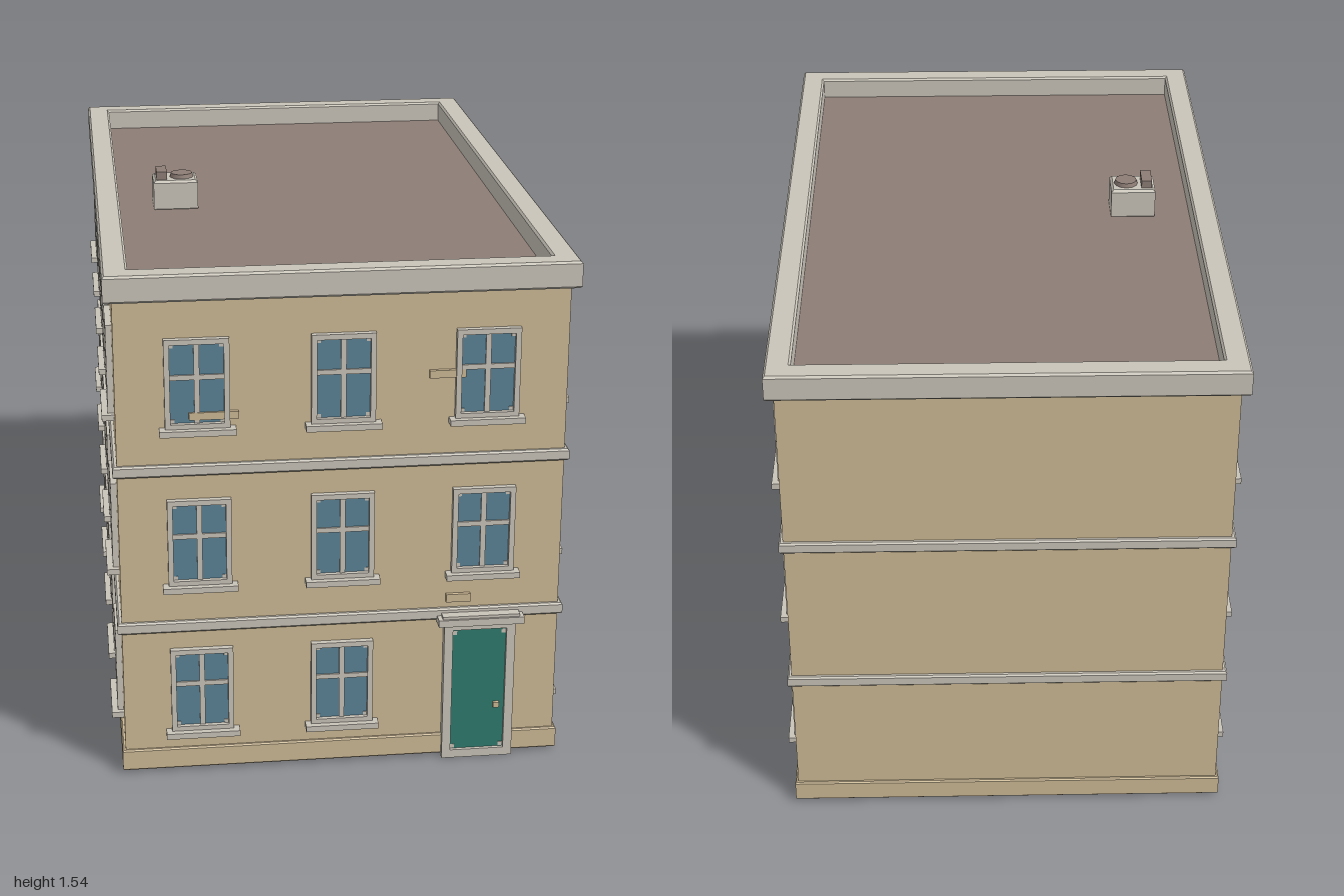
import * as THREE from 'three';

const paint = (name, hex) => {
  const m = new THREE.MeshStandardMaterial({ color: hex });
  m.name = name;
  return m;
};
const wallMat = paint('sand wall', 0xcdba96);
const trimMat = paint('pale stone', 0xc9c4b9);
const glassMat = paint('window glass', 0x5a8297);
const roofMat = paint('brown roof', 0x8d7d75);
const doorMat = paint('green door', 0x2f7a6d);

const CZ = -0.0125;               // centre of the building block in z
const WX = 0.618, WZ = 0.964;     // half width and half depth of the walls

function add(parent, name, geo, mat, x = 0, y = 0, z = 0) {
  const mesh = new THREE.Mesh(geo, mat);
  mesh.name = name;
  mesh.position.set(x, y, z);
  parent.add(mesh);
  return mesh;
}

// box given by its limits
function block(parent, name, mat, x0, x1, y0, y1, z0, z1) {
  return add(parent, name, new THREE.BoxGeometry(x1 - x0, y1 - y0, z1 - z0), mat,
    (x0 + x1) / 2, (y0 + y1) / 2, (z0 + z1) / 2);
}

function rectPoints(hw, hh) {
  return [[-hw, -hh], [hw, -hh], [hw, hh], [-hw, hh]].map(p => new THREE.Vector2(...p));
}

// horizontal slab with bevelled edges and an optional rectangular opening
function slab(parent, name, mat, hx, hz, y0, y1, bevel, hole) {
  const shape = new THREE.Shape(rectPoints(hx - bevel, hz - bevel));
  if (hole) shape.holes.push(new THREE.Path(rectPoints(hole[0] + bevel, hole[1] + bevel).reverse()));
  const geo = new THREE.ExtrudeGeometry(shape, {
    depth: y1 - y0 - 2 * bevel, bevelEnabled: true,
    bevelSize: bevel, bevelThickness: bevel, bevelSegments: 1,
  });
  geo.rotateX(-Math.PI / 2);
  return add(parent, name, geo, mat, 0, y0 + bevel, 0);
}

// upright rectangular frame, its back on z = 0
function frameGeo(hw, hh, border, depth) {
  const shape = new THREE.Shape(rectPoints(hw, hh));
  shape.holes.push(new THREE.Path(rectPoints(hw - border, hh - border).reverse()));
  return new THREE.ExtrudeGeometry(shape, { depth, bevelEnabled: false });
}

const HW = 0.088, HH = 0.128;
const windowFrame = frameGeo(HW, HH, 0.015, 0.017);
const pane = new THREE.BoxGeometry(2 * HW - 0.02, 2 * HH - 0.02, 0.008);
const upright = new THREE.BoxGeometry(0.015, 2 * HH - 0.03, 0.014);
const crossbar = new THREE.BoxGeometry(2 * HW - 0.03, 0.014, 0.014);
const sillGeo = new THREE.BoxGeometry(0.208, 0.017, 0.034);
const corner = new THREE.BoxGeometry(0.012, 0.012, 0.01);

function makeWindow() {
  const g = new THREE.Group();
  g.name = 'window';
  add(g, 'windowFrame', windowFrame, trimMat);
  add(g, 'pane', pane, glassMat);
  add(g, 'upright', upright, trimMat, 0, 0, 0.002);
  add(g, 'crossbar', crossbar, trimMat, 0, 0.018, 0.002);
  add(g, 'sill', sillGeo, trimMat, 0, -HH - 0.007, 0.017);
  for (const sx of [-1, 1]) for (const sy of [-1, 1])
    add(g, 'frameCorner', corner, trimMat, sx * (HW - 0.02), sy * (HH - 0.02), 0.001);
  return g;
}

export function createModel() {
  const model = new THREE.Group();
  model.name = 'building';
  const body = new THREE.Group();
  body.name = 'body';
  body.position.z = CZ;
  model.add(body);

  // masonry shell with plinth, floor bands and parapet
  block(body, 'walls', wallMat, -WX, WX, 0.01, 1.42, -WZ, WZ);
  slab(body, 'plinth', wallMat, 0.627, 0.973, 0.008, 0.072, 0.004);
  for (const y of [0.439, 0.91]) slab(body, 'floorBand', trimMat, 0.63, 0.976, y, y + 0.034, 0.005);
  slab(body, 'parapet', trimMat, 0.642, 0.9875, 1.412, 1.488, 0.006, [0.572, 0.92]);
  block(body, 'roof', roofMat, -0.58, 0.58, 1.415, 1.425, -0.93, 0.93);

  // one group per wall, with local z pointing out of it
  const faces = {
    front: [0, 0, WZ, 0],
    left: [WX, 0, 0, Math.PI / 2],
    right: [-WX, 0, 0, -Math.PI / 2],
  };
  const wall = {};
  for (const [name, [x, y, z, turn]] of Object.entries(faces)) {
    const g = wall[name] = new THREE.Group();
    g.name = name + 'Facade';
    g.position.set(x, y, z);
    g.rotation.y = turn;
    body.add(g);
  }

  // windows on three floors; the door replaces one at the front
  [0.258, 0.712, 1.177].forEach((y, floor) => {
    const place = (face, u) => {
      const w = makeWindow();
      w.position.set(u, y, 0);
      wall[face].add(w);
    };
    for (const u of [-0.397, 0, 0.395]) if (floor > 0 || u < 0.3) place('front', u);
    for (let i = 0; i < 5; i++) {
      const z = 0.749 - i * 0.371;
      place('left', -z);
      place('right', z);
    }
  });

  // front door with frame and canopy
  const door = new THREE.Group();
  door.name = 'door';
  door.position.x = 0.392;
  wall.front.add(door);
  add(door, 'doorFrame', frameGeo(0.102, 0.217, 0.025, 0.024), trimMat, 0, 0.217, 0);
  block(door, 'doorLeaf', doorMat, -0.08, 0.08, 0.018, 0.412, 0, 0.014);
  block(door, 'threshold', trimMat, -0.1, 0.1, 0, 0.018, 0, 0.024);
  block(door, 'canopy', trimMat, -0.122, 0.122, 0.431, 0.452, 0, 0.046);
  block(door, 'canopyCap', trimMat, -0.11, 0.11, 0.452, 0.46, 0, 0.04);
  block(door, 'doorKnob', wallMat, 0.045, 0.062, 0.156, 0.172, 0.012, 0.024);
  for (const x of [-0.07, 0.07]) for (const y of [0.033, 0.397])
    add(door, 'doorCorner', corner, trimMat, x, y, 0.011);

  // loose bricks standing slightly proud of the walls
  const bricks = [
    ['front', -0.42, -0.285, 1.073, 1.094], ['front', 0.235, 0.335, 1.167, 1.189],
    ['front', 0.295, 0.364, 0.492, 0.516],
    ['left', -0.81, -0.685, 0.61, 0.631], ['left', 0.755, 0.86, 1.203, 1.224],
    ['right', -0.63, -0.52, 0.27, 0.291], ['right', 0.2, 0.3, 1.167, 1.189],
  ];
  for (const [face, x0, x1, y0, y1] of bricks)
    block(wall[face], 'raisedBrick', wallMat, x0, x1, y0, y1, 0, 0.011);

  // roof vent
  const vent = new THREE.Group();
  vent.name = 'roofVent';
  vent.position.set(-0.4, 0, 0.064);
  model.add(vent);
  slab(vent, 'ventBox', trimMat, 0.066, 0.053, 1.42, 1.513, 0.007);
  add(vent, 'ventFan', new THREE.CylinderGeometry(0.032, 0.036, 0.014, 12), roofMat, 0.02, 1.518, 0);
  block(vent, 'ventFlap', roofMat, -0.056, -0.025, 1.51, 1.537, -0.037, 0.037);

  return model;
}
